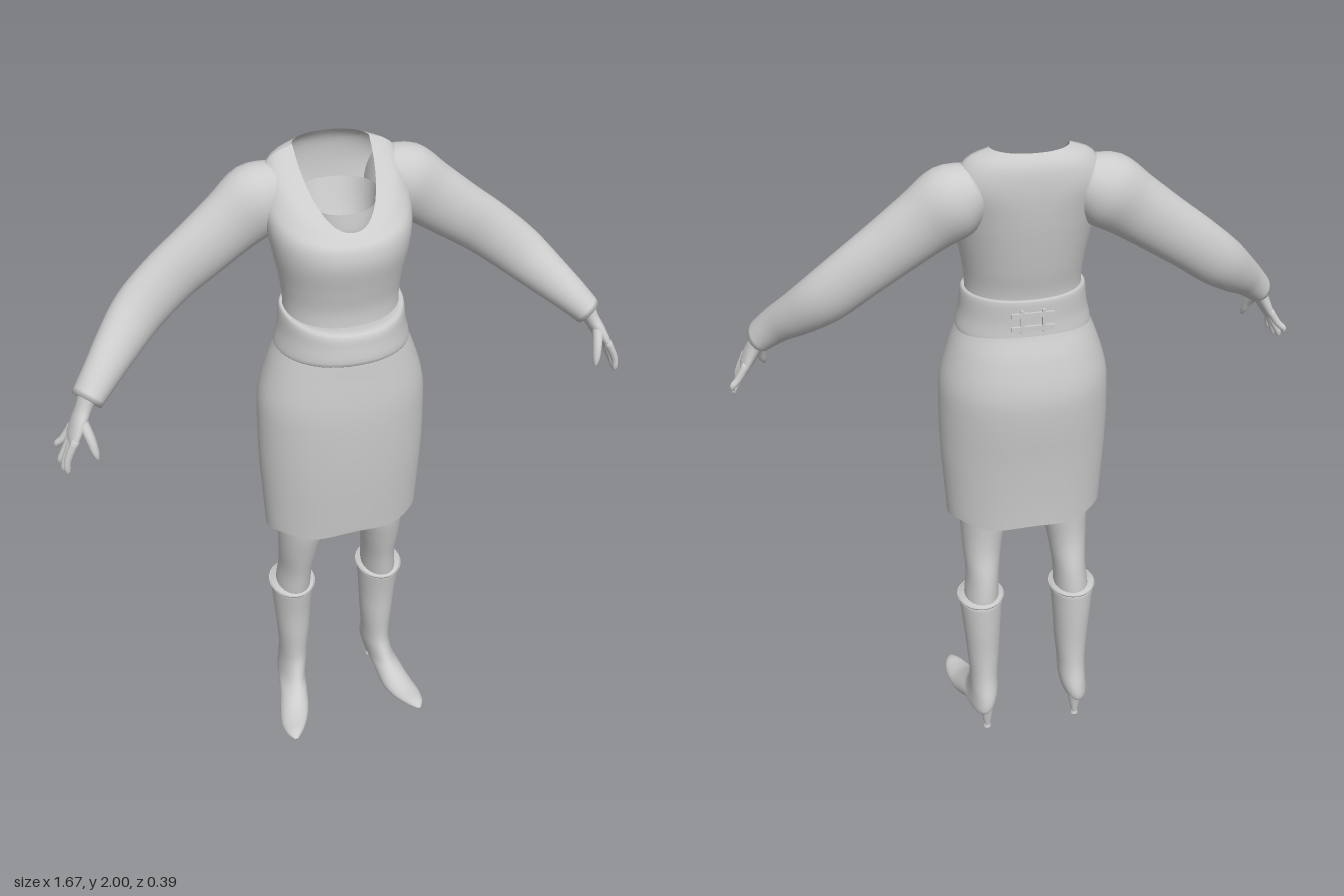
import * as THREE from 'three';

const V = (x, y, z) => new THREE.Vector3(x, y, z);
const TAU = Math.PI * 2;

// Catmull-Rom interpolation of every column of a table of section values
function smooth(rows, steps = 4) {
  const out = [], last = rows.length - 1;
  const row = i => rows[Math.min(last, Math.max(0, i))];
  for (let i = 0; i < last; i++) {
    for (let s = 0; s < steps; s++) {
      const t = s / steps;
      out.push(row(i).map((b, k) => {
        const a = row(i - 1)[k], c = row(i + 1)[k], d = row(i + 2)[k];
        return b + 0.5 * t * (c - a + t * (2 * a - 5 * b + 4 * c - d + t * (3 * (b - c) + d - a)));
      }));
    }
  }
  out.push(rows[last]);
  return out;
}

// Skin a list of closed rings; optionally close either end
function loft(rings, capStart = false, capEnd = false) {
  const n = rings[0].length, pos = [], idx = [];
  rings.forEach(r => r.forEach(p => pos.push(p.x, p.y, p.z)));
  for (let i = 0; i < rings.length - 1; i++) {
    for (let j = 0; j < n; j++) {
      const a = i * n + j, b = i * n + (j + 1) % n;
      idx.push(a, b, a + n, b, b + n, a + n);
    }
  }
  const cap = (ring, base, flip) => {
    const c = ring.reduce((s, p) => s.add(p), V(0, 0, 0)).divideScalar(n);
    const m = pos.length / 3;
    pos.push(c.x, c.y, c.z);
    for (let j = 0; j < n; j++) {
      const a = base + j, b = base + (j + 1) % n;
      idx.push(m, flip ? b : a, flip ? a : b);
    }
  };
  if (capStart) cap(rings[0], 0, true);
  if (capEnd) cap(rings[rings.length - 1], (rings.length - 1) * n, false);
  const g = new THREE.BufferGeometry();
  g.setAttribute('position', new THREE.Float32BufferAttribute(pos, 3));
  g.setIndex(idx);
  g.computeVertexNormals();
  return g;
}

// Clothing sections, bottom to top: half width, front z, side z, back z, front y, side y, back y
function garment(rows, wave = 0, n = 48) {
  return loft(smooth(rows).map(([w, zf, zs, zb, yf, ys, yb], i) =>
    Array.from({ length: n }, (_, j) => {
      const a = j / n * TAU, s = Math.sin(a), c = Math.cos(a);
      const y = ys + ((c > 0 ? yf : yb) - ys) * Math.abs(c);
      const sx = Math.sign(s) * Math.abs(s) ** 0.9;
      const hem = i === 0 ? wave * Math.cos(a * 6) : 0;
      return V(w * sx, y + hem, zs + (c > 0 ? zf - zs : zs - zb) * c);
    })));
}

// Leg and boot sections, top to toe: x, front z, front y, back z, back y, half width
function slices(rows, n = 28) {
  return loft(smooth(rows).map(([x, zf, yf, zb, yb, w]) =>
    Array.from({ length: n }, (_, j) => {
      const a = j / n * TAU, c = Math.cos(a);
      return V(x - w * Math.sin(a), (yf + yb) / 2 + (yf - yb) / 2 * c, (zf + zb) / 2 + (zf - zb) / 2 * c);
    })), true, true);
}

// Limb sections along a path: x, y, z, radius toward z, radius across
function limb(rows, n = 20, steps = 4) {
  const r = smooth(rows, steps), p = r.map(q => V(q[0], q[1], q[2]));
  return loft(r.map((q, i) => {
    const t = p[Math.min(i + 1, p.length - 1)].clone().sub(p[Math.max(i - 1, 0)]).normalize();
    const a = V(0, 0, 1).addScaledVector(t, -t.z).normalize();
    const b = t.clone().cross(a);
    return Array.from({ length: n }, (_, j) => p[i].clone()
      .addScaledVector(a, q[3] * Math.cos(j / n * TAU))
      .addScaledVector(b, q[4] * Math.sin(j / n * TAU)));
  }), true, true);
}

function mirrored(geo) {
  const g = geo.clone().scale(-1, 1, 1), ix = g.index.array;
  for (let i = 0; i < ix.length; i += 3) [ix[i], ix[i + 1]] = [ix[i + 1], ix[i]];
  g.computeVertexNormals();
  return g;
}

export function createModel() {
  const model = new THREE.Group();
  model.name = 'dressedFigure';
  const grey = new THREE.MeshStandardMaterial({ color: 0xcccccc, side: THREE.DoubleSide });
  grey.name = 'lightGrey';
  const add = (name, geo) => {
    const m = new THREE.Mesh(geo, grey);
    m.name = name;
    model.add(m);
    return m;
  };
  const pair = (name, geo) => {
    add('left' + name, geo);
    add('right' + name, mirrored(geo));
  };
  const level = (w, zf, zb, y, zs = 0) => [w, zf, zs, zb, y, y, y];

  // Skirt, open at the hem
  add('skirt', garment([
    level(0.238, 0.135, -0.155, 0.825), level(0.243, 0.145, -0.16, 0.92), level(0.25, 0.158, -0.172, 1.06),
    level(0.25, 0.165, -0.188, 1.2), level(0.244, 0.165, -0.19, 1.3), level(0.215, 0.157, -0.167, 1.4),
    level(0.187, 0.15, -0.14, 1.47), level(0.168, 0.13, -0.128, 1.53),
  ], 0.006));

  // Top with a deep V neckline
  add('bodice', garment([
    level(0.172, 0.135, -0.126, 1.47), level(0.164, 0.124, -0.128, 1.58), level(0.172, 0.138, -0.145, 1.66),
    level(0.188, 0.156, -0.16, 1.74), [0.2, 0.15, -0.02, -0.172, 1.79, 1.82, 1.82],
    [0.2, 0.132, -0.075, -0.178, 1.81, 1.91, 1.9], [0.165, 0.12, -0.08, -0.172, 1.82, 1.975, 1.965],
    [0.105, 0.112, -0.08, -0.15, 1.825, 2, 2],
  ]));

  // Undershirt seen inside the neckline
  add('undershirt', garment([
    level(0.02, 0.02, -0.07, 1.68, -0.03), level(0.09, 0.085, -0.11, 1.78, -0.03),
    [0.11, 0.085, -0.04, -0.14, 1.865, 1.88, 1.87],
  ]));

  // Wide waistband, fuller at the front
  add('waistband', garment([
    level(0.19, 0.15, -0.138, 1.455), level(0.193, 0.178, -0.14, 1.462), level(0.182, 0.175, -0.137, 1.51),
    [0.175, 0.166, 0, -0.138, 1.55, 1.57, 1.575], [0.164, 0.125, 0, -0.128, 1.552, 1.574, 1.58],
  ]));

  // Back strap and buckle
  const plate = (name, w, h, x, y) =>
    add(name, new THREE.BoxGeometry(w, h, 0.008)).position.set(x, y, -0.141);
  for (const y of [1.5, 1.54]) plate('backStrap', 0.12, 0.014, 0, y);
  for (const x of [-0.03, 0.03]) plate('buckleSide', 0.009, 0.07, x, 1.52);

  // Sleeves
  pair('Sleeve', limb([
    [0.13, 1.9, -0.085, 0.065, 0.065], [0.2, 1.865, -0.085, 0.085, 0.1], [0.28, 1.81, -0.08, 0.07, 0.092],
    [0.37, 1.745, -0.075, 0.063, 0.085], [0.46, 1.68, -0.07, 0.058, 0.08], [0.55, 1.607, -0.05, 0.058, 0.075],
    [0.62, 1.545, -0.005, 0.055, 0.064], [0.68, 1.492, 0.045, 0.05, 0.052], [0.733, 1.44, 0.082, 0.051, 0.042],
  ], 28));

  // Hands
  pair('Palm', limb([
    [0.725, 1.455, 0.078, 0.034, 0.026], [0.743, 1.42, 0.086, 0.033, 0.022], [0.763, 1.385, 0.097, 0.043, 0.02],
    [0.782, 1.35, 0.103, 0.048, 0.016], [0.79, 1.335, 0.104, 0.042, 0.009],
  ]));
  const fingers = [[0.14, 0.812, 1.258, 0.145], [0.116, 0.819, 1.25, 0.117],
    [0.092, 0.824, 1.257, 0.088], [0.068, 0.825, 1.288, 0.056]];
  for (const [z, tx, ty, tz] of fingers) {
    pair('Finger', limb([
      [0.779, 1.36, z, 0.012, 0.012], [0.807, (1.35 + ty) / 2, (z + tz) / 2, 0.0105, 0.0105],
      [tx, ty + 0.014, tz, 0.009, 0.009], [tx, ty, tz, 0.003, 0.003],
    ], 10, 3));
  }
  pair('Thumb', limb([
    [0.755, 1.4, 0.112, 0.017, 0.016], [0.742, 1.362, 0.145, 0.015, 0.014],
    [0.735, 1.325, 0.162, 0.011, 0.011], [0.731, 1.305, 0.169, 0.003, 0.003],
  ], 10, 3));

  // Legs
  pair('Leg', slices([
    [0.12, 0.1, 1.05, -0.11, 1.05, 0.085], [0.126, 0.085, 0.82, -0.1, 0.82, 0.075],
    [0.135, 0.06, 0.7, -0.1, 0.7, 0.062], [0.14, 0.035, 0.6, -0.122, 0.6, 0.052],
    [0.147, 0.018, 0.5, -0.132, 0.5, 0.054], [0.147, 0, 0.42, -0.125, 0.42, 0.048],
  ]));

  // Boots with pointed toes turned outward
  pair('Boot', slices([
    [0.149, 0.026, 0.515, -0.141, 0.525, 0.07], [0.148, 0.007, 0.4, -0.138, 0.4, 0.06],
    [0.147, 0, 0.3, -0.135, 0.3, 0.053], [0.148, -0.005, 0.22, -0.142, 0.2, 0.046],
    [0.15, 0, 0.17, -0.163, 0.12, 0.045], [0.16, 0.025, 0.115, -0.153, 0.07, 0.043],
    [0.17, 0.055, 0.085, -0.07, 0.055, 0.045], [0.186, 0.09, 0.062, 0.025, 0.004, 0.05],
    [0.202, 0.13, 0.05, 0.1, 0.002, 0.045], [0.214, 0.17, 0.045, 0.16, 0.012, 0.028],
    [0.219, 0.197, 0.033, 0.193, 0.024, 0.006],
  ]));
  pair('BootRim', slices([
    [0.149, 0.024, 0.506, -0.139, 0.516, 0.068], [0.149, 0.031, 0.511, -0.145, 0.521, 0.075],
    [0.149, 0.024, 0.502, -0.139, 0.512, 0.068],
  ].reverse().map(r => [...r])));

  // Slender heels with a small tip
  pair('Heel', new THREE.CylinderGeometry(0.026, 0.009, 0.1, 16).translate(0.15, 0.055, -0.135));
  pair('HeelTip', new THREE.CylinderGeometry(0.011, 0.013, 0.01, 16).translate(0.15, 0.005, -0.135));

  return model;
}
